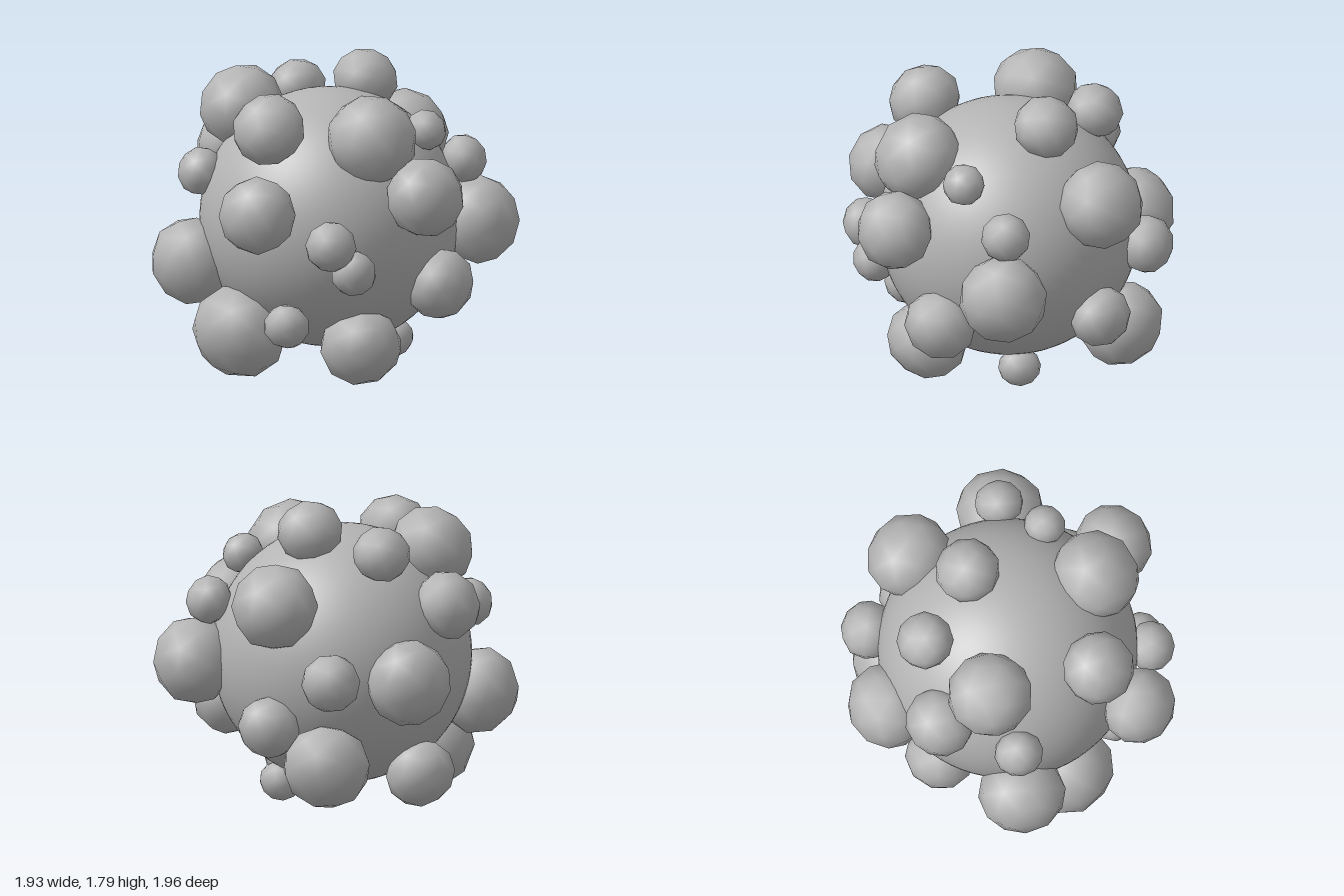
import * as THREE from 'three';

const CORE = new THREE.Vector3(-0.045, 0.89, -0.06);
const CORE_RADIUS = 0.735;
const FLATTEN = 0.92; // bumps are slightly squashed along their outward axis

// Bumps: x, y, z, radius
const BUMPS = [
  // upper
  [-0.55, 1.51, 0.03, 0.245], [-0.17, 1.49, 0.54, 0.21], [0.365, 1.43, 0.31, 0.26],
  [0.055, 1.635, -0.345, 0.187], [0.54, 1.43, -0.068, 0.12], [-0.395, 1.545, -0.425, 0.165],
  // front
  [-0.143, 1.04, 0.775, 0.222], [0.27, 0.875, 0.685, 0.145],
  [0.368, 0.71, 0.585, 0.13], [-0.04, 0.375, 0.59, 0.132],
  // left and right sides
  [0.685, 1.12, 0.295, 0.228], [0.66, 0.57, 0.02, 0.207], [0.72, 0.865, -0.41, 0.252],
  [0.64, 1.215, -0.385, 0.14], [-0.74, 0.645, 0.3, 0.25], [-0.7, 1.16, 0.265, 0.14],
  [-0.715, 1.23, -0.21, 0.2],
  // back
  [0.14, 1.27, -0.735, 0.25], [-0.225, 0.87, -0.838, 0.168],
  [-0.6, 0.845, -0.57, 0.248], [0.17, 0.575, -0.745, 0.18],
  // lower
  [0.29, 0.23, 0.29, 0.235], [-0.395, 0.29, 0.43, 0.277], [-0.16, 0.36, -0.71, 0.25],
  [-0.575, 0.265, -0.265, 0.2], [0.25, 0.175, -0.275, 0.122],
];

// Low-poly ball with one of its vertices on +y
function bumpGeometry() {
  const geometry = new THREE.IcosahedronGeometry(1, 1);
  const phi = (1 + Math.sqrt(5)) / 2;
  const vertex = new THREE.Vector3(-1, phi, 0).normalize();
  const turn = new THREE.Quaternion().setFromUnitVectors(vertex, new THREE.Vector3(0, 1, 0));
  return geometry.applyQuaternion(turn);
}

export function createModel() {
  const model = new THREE.Group();
  model.name = 'bumpyBall';
  const grey = new THREE.MeshStandardMaterial({ color: 0xb4b4b4 });
  grey.name = 'grey';

  // Smooth central sphere
  const core = new THREE.Mesh(new THREE.SphereGeometry(CORE_RADIUS, 64, 40), grey);
  core.name = 'core';
  core.position.copy(CORE);
  model.add(core);

  // Faceted bumps, each aimed away from the core
  const geometry = bumpGeometry();
  const up = new THREE.Vector3(0, 1, 0);
  BUMPS.forEach(([x, y, z, r], i) => {
    const bump = new THREE.Mesh(geometry, grey);
    bump.name = `bump${i + 1}`;
    bump.position.set(x, y, z);
    const outward = bump.position.clone().sub(CORE).normalize();
    bump.quaternion.setFromUnitVectors(up, outward);
    bump.scale.set(r, r * FLATTEN, r);
    model.add(bump);
  });
  return model;
}
